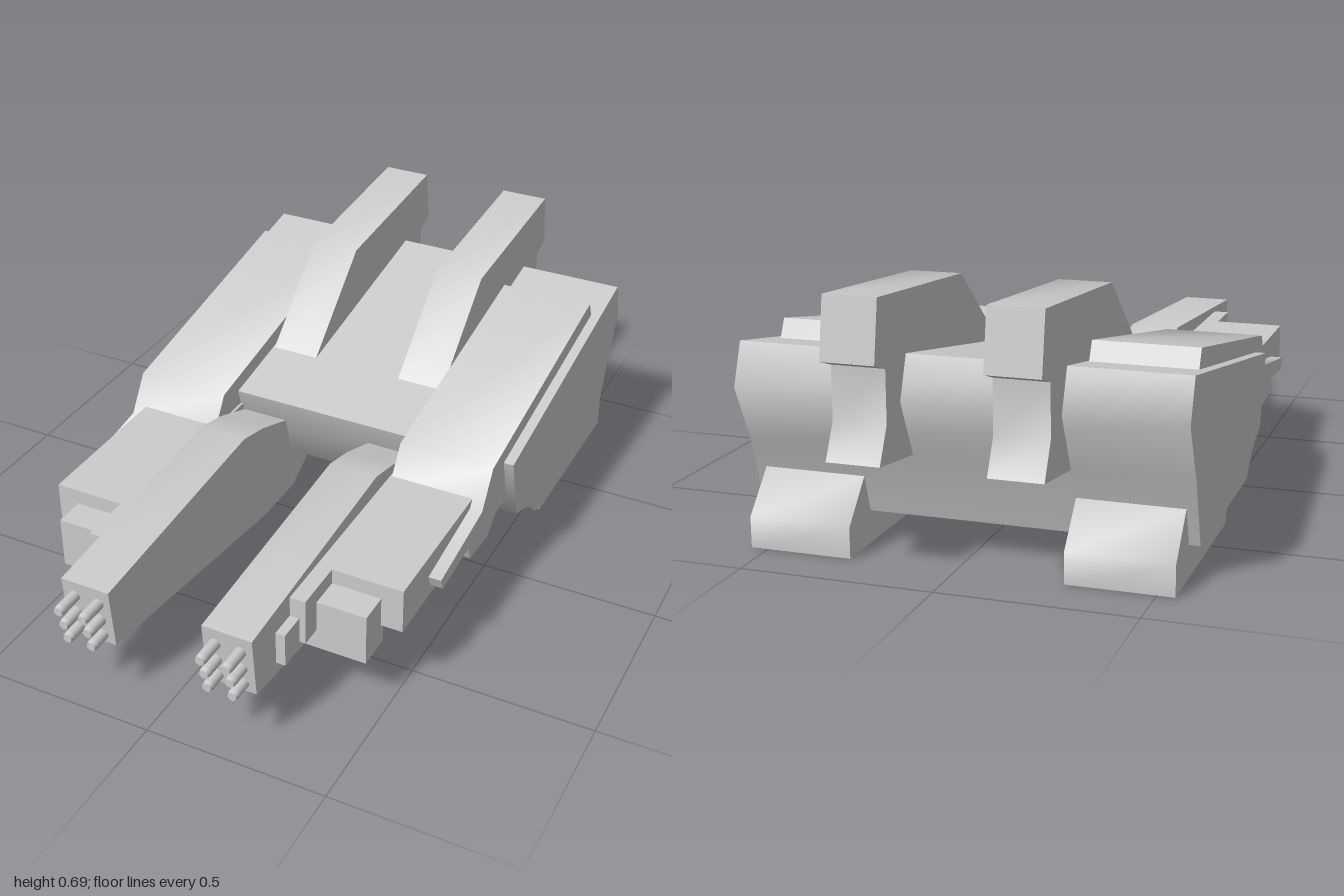
import * as THREE from 'three';
import { toCreasedNormals } from 'three/addons/utils/BufferGeometryUtils.js';

const material = new THREE.MeshStandardMaterial({ color: 0xcccccc });

function addMesh(parent, name, geometry) {
  const mesh = new THREE.Mesh(geometry, material);
  mesh.name = name;
  parent.add(mesh);
  return mesh;
}

// Side profile of [z, y] points, extruded across x from x0 to x1
function slab(points, x0, x1) {
  const shape = new THREE.Shape(points.map(([z, y]) => new THREE.Vector2(z, y)));
  const geometry = new THREE.ExtrudeGeometry(shape, { depth: x1 - x0, bevelEnabled: false });
  geometry.rotateY(-Math.PI / 2).translate(x1, 0, 0);
  return toCreasedNormals(geometry, 1.0);
}

// Box given by its limits on each axis
function block([x0, x1], [y0, y1], [z0, z1]) {
  return new THREE.BoxGeometry(x1 - x0, y1 - y0, z1 - z0)
    .translate((x0 + x1) / 2, (y0 + y1) / 2, (z0 + z1) / 2);
}

const hullProfile = [
  [0.025, 0.38], [-0.82, 0.52], [-0.86, 0.41], [-0.79, 0.26],
  [-0.735, 0.085], [-0.2, 0.085], [-0.125, 0.15], [-0.03, 0.185],
];
const gunProfile = [
  [0.93, 0.335], [0.245, 0.385], [0.14, 0.36], [-0.02, 0.3],
  [-0.2, 0.25], [-0.17, 0.135], [-0.04, 0.06], [0.14, 0.06], [0.915, 0.16],
];
const finProfile = [
  [-0.19, 0.416], [-0.455, 0.648], [-0.975, 0.685], [-1.0, 0.53], [-0.94, 0.51],
  [-0.94, 0.375], [-0.985, 0.285], [-0.79, 0.26], [-0.6, 0.3],
];
const podProfile = [
  [0.44, 0.27], [0.17, 0.31], [0.105, 0.41], [-0.64, 0.542], [-0.665, 0.49],
  [-0.6, 0.4], [-0.1, 0.24], [-0.01, 0.245], [0.065, 0.24], [0.12, 0.195],
  [0.24, 0.205], [0.26, 0.25], [0.425, 0.235],
];
const footProfile = [
  [-0.28, 0.1], [-0.325, 0], [-0.86, 0], [-0.86, 0.08], [-0.765, 0.185], [-0.6, 0.2],
];

// Stepped boxes beside each gun: limits in x, y and z
const sideBoxes = [
  ['sideHousing', [0.268, 0.51], [0.205, 0.333], [-0.02, 0.595]],
  ['frontStep', [0.268, 0.45], [0.145, 0.29], [0.58, 0.68]],
  ['upperStep', [0.268, 0.313], [0.203, 0.333], [0.58, 0.74]],
  ['noseStep', [0.268, 0.296], [0.183, 0.277], [0.6, 0.815]],
  ['frontLowerLug', [0.275, 0.45], [0.147, 0.21], [0.31, 0.43]],
  ['rearLowerLug', [0.275, 0.45], [0.147, 0.21], [0.145, 0.26]],
];

export function createModel() {
  const model = new THREE.Group();
  model.name = 'gunship';
  addMesh(model, 'hull', slab(hullProfile, -0.573, 0.573));

  for (const side of [1, -1]) {
    const group = new THREE.Group();
    group.name = side > 0 ? 'leftSide' : 'rightSide';
    model.add(group);
    const span = (a, b) => (side > 0 ? [a, b] : [-b, -a]);

    addMesh(group, 'gunBody', slab(gunProfile, ...span(0.132, 0.27)));
    addMesh(group, 'rearFin', slab(finProfile, ...span(0.132, 0.27)));
    addMesh(group, 'shoulderPod', slab(podProfile, ...span(0.275, 0.545)));
    addMesh(group, 'foot', slab(footProfile, ...span(0.275, 0.545)));

    for (const [name, x, y, z] of sideBoxes) {
      addMesh(group, name, block(span(...x), y, z));
    }

    // Six barrels, the upper rows reaching further forward
    [[0.29, 1.0], [0.237, 0.985], [0.187, 0.975]].forEach(([y, tip]) => {
      for (const x of [0.166, 0.236]) {
        const length = tip - 0.88;
        const barrel = new THREE.CylinderGeometry(0.012, 0.015, 0.012, 16)
          .rotateX(Math.PI / 2).translate(0, 0, length / 2 - 0.006);
        const tube = new THREE.CylinderGeometry(0.015, 0.015, length - 0.012, 16)
          .rotateX(Math.PI / 2).translate(0, 0, -0.006);
        addMesh(group, 'barrelTip', barrel).position.set(side * x, y, tip - length / 2);
        addMesh(group, 'barrel', tube).position.set(side * x, y, tip - length / 2);
      }
    });
  }
  return model;
}
